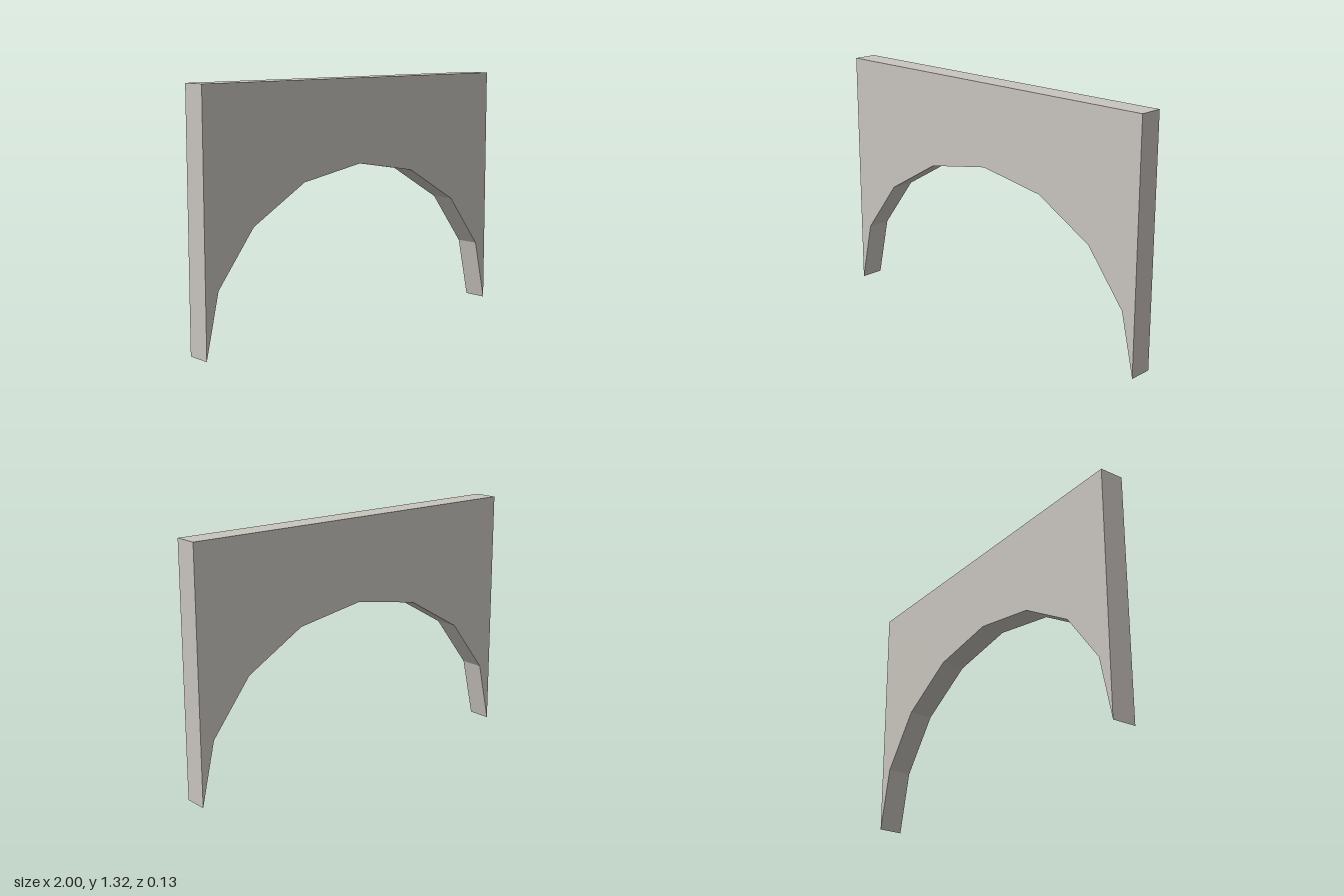
import * as THREE from 'three';

const HEIGHT = 1.315;
const DEPTH = 0.13;
const ARCH_RISE = 0.87;
const ARCH_SEGMENTS = 8;

export function createModel() {
  const model = new THREE.Group();
  model.name = 'archway';

  const stone = new THREE.MeshStandardMaterial({ color: 0xc8c4be });
  stone.name = 'pale stone';
  stone.flatShading = true;

  // Wall outline: straight top and sides, faceted half-ellipse underneath
  const outline = new THREE.Shape();
  outline.moveTo(1, HEIGHT);
  outline.lineTo(-1, HEIGHT);
  for (let i = 0; i <= ARCH_SEGMENTS; i++) {
    const angle = Math.PI * (1 - i / ARCH_SEGMENTS);
    outline.lineTo(Math.cos(angle), ARCH_RISE * Math.sin(angle));
  }
  outline.closePath();

  // Extrude through the wall thickness and centre on z
  const geometry = new THREE.ExtrudeGeometry(outline, { depth: DEPTH, bevelEnabled: false });
  geometry.translate(0, 0, -DEPTH / 2);

  const wall = new THREE.Mesh(geometry, stone);
  wall.name = 'archWall';
  model.add(wall);
  return model;
}
